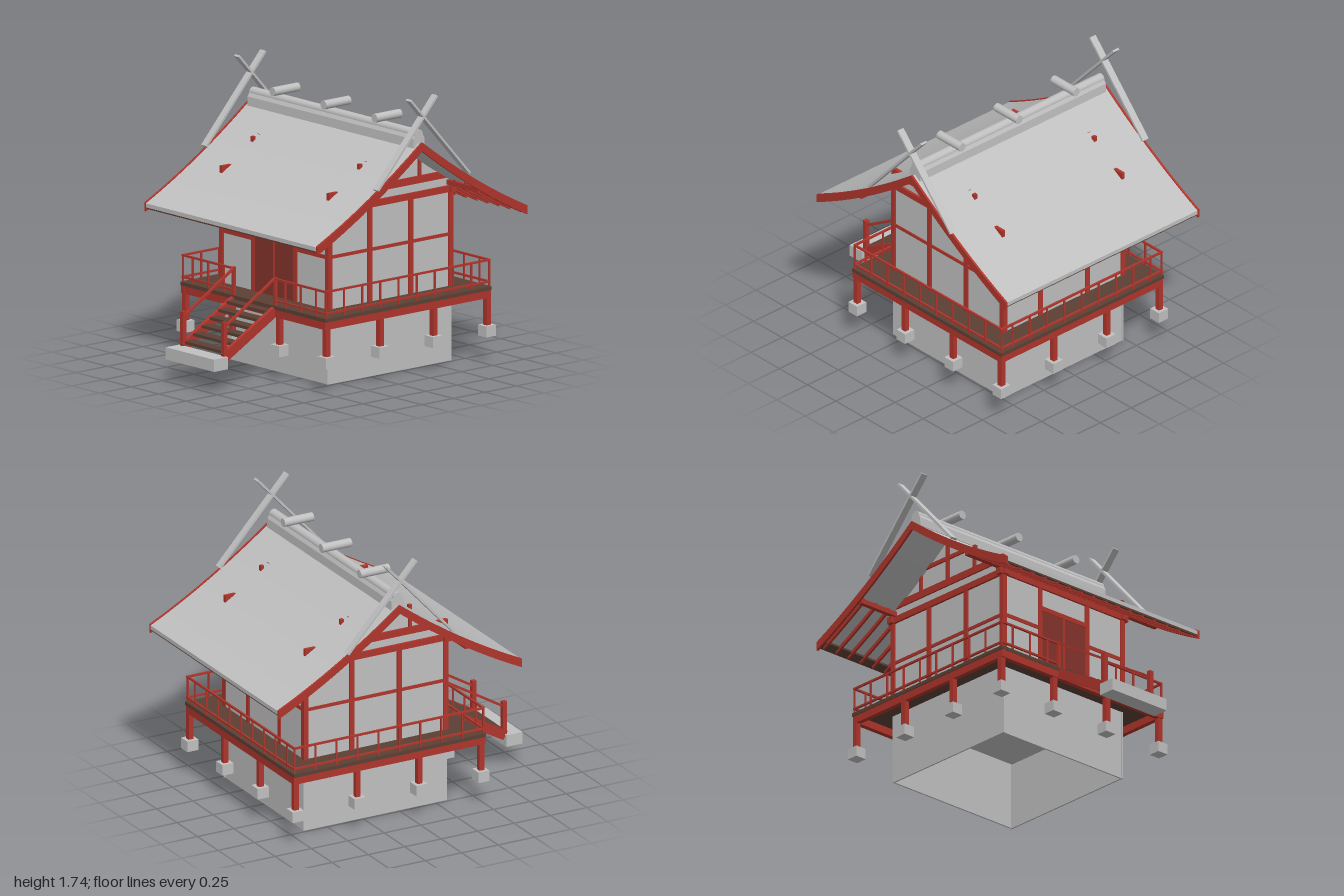
import * as THREE from 'three';
import { toCreasedNormals } from 'three/addons/utils/BufferGeometryUtils.js';

export function createModel() {
  const model = new THREE.Group();
  const material = (name, color) => {
    const m = new THREE.MeshStandardMaterial({ color });
    m.name = name;
    return m;
  };
  const grey = material('pale grey', 0xc0c0c0);
  const red = material('vermilion', 0xb0352c);
  const doorRed = material('dark red', 0x85342d);
  const brown = material('dark brown', 0x5c4033);

  const add = (name, geometry, mat) => {
    const mesh = new THREE.Mesh(geometry, mat);
    mesh.name = name;
    model.add(mesh);
    return mesh;
  };
  // box given by its limits on each axis
  const box = (name, mat, x0, x1, y0, y1, z0, z1) => {
    const g = new THREE.BoxGeometry(Math.abs(x1 - x0), Math.abs(y1 - y0), Math.abs(z1 - z0));
    add(name, g, mat).position.set((x0 + x1) / 2, (y0 + y1) / 2, (z0 + z1) / 2);
  };
  // straight bar between two (z, y) points
  const slant = (name, mat, x, width, thick, [za, ya], [zb, yb]) => {
    const g = new THREE.BoxGeometry(width, thick, Math.hypot(zb - za, yb - ya));
    const m = add(name, g, mat);
    m.position.set(x, (ya + yb) / 2, (za + zb) / 2);
    m.rotation.x = -Math.atan2(yb - ya, zb - za);
  };
  // (z, y) outline extruded along x
  const extrudeX = (name, mat, pts, x0, x1) => {
    const shape = new THREE.Shape(pts.map(p => new THREE.Vector2(p[0], p[1])));
    const g = new THREE.ExtrudeGeometry(shape, { depth: x1 - x0, bevelEnabled: false });
    g.rotateY(-Math.PI / 2);
    g.translate(x1, 0, 0);
    add(name, toCreasedNormals(g, 0.4), mat);
  };

  // roof curve, by distance from the ridge
  const RIDGE = -0.16, EAVE = 0.835;
  const roofY = d => 1.46 - 0.753 * d + 0.166 * d * d;
  const slope = (side, d0, d1, drop, n = 8) => Array.from({ length: n + 1 }, (_, i) => {
    const d = d0 + (d1 - d0) * i / n;
    return [RIDGE + side * d, roofY(d) - drop];
  });
  const wholeRoof = (name, mat, top, bottom, x0, x1) => {
    const over = drop => [...slope(1, EAVE, 0, drop), ...slope(-1, 0, EAVE, drop).slice(1)];
    extrudeX(name, mat, [...over(top), ...over(bottom).reverse()], x0, x1);
  };
  const roofBand = (name, mat, side, d0, d1, top, bottom, x0, x1) =>
    extrudeX(name, mat, [...slope(side, d0, d1, top, 4), ...slope(side, d1, d0, bottom, 4)], x0, x1);

  // roof, gable boards, eave strips and rafters
  wholeRoof('roof', grey, 0, 0.025, -0.772, 0.772);
  for (const s of [-1, 1]) {
    wholeRoof('gableBoard', red, -0.005, 0.05, s * 0.779 - 0.007, s * 0.779 + 0.007);
    roofBand('eaveStrip', brown, s, 0.78, 0.83, 0.024, 0.037, -0.77, 0.77);
    for (let i = 0; i < 16; i++) {
      const x = -0.745 + i * 0.0993;
      roofBand('rafter', red, s, 0.46, 0.815, 0.024, 0.05, x - 0.007, x + 0.007);
    }
    const z = RIDGE + s * 0.47;
    box('purlin', red, -0.77, 0.77, 1.085, 1.115, z - 0.015, z + 0.015);
  }

  // ridge cap, logs and crossed finials
  extrudeX('ridgeBase', grey, [[-0.205, 1.43], [-0.115, 1.43], [-0.118, 1.485], [-0.132, 1.51],
    [-0.188, 1.51], [-0.202, 1.485]], -0.755, 0.755);
  const cap = add('ridgeCap', new THREE.CylinderGeometry(0.03, 0.03, 1.51, 20), grey);
  cap.rotation.z = Math.PI / 2;
  cap.position.set(0, 1.509, RIDGE);
  for (const x of [-0.463, 0, 0.463]) {
    const log = add('ridgeLog', new THREE.CylinderGeometry(0.027, 0.027, 0.2, 20), grey);
    log.rotation.x = Math.PI / 2;
    log.position.set(x, 1.573, RIDGE);
  }
  for (const x of [-0.78, 0.78]) for (const s of [-1, 1])
    slant('crossedFinial', grey, x, 0.046, 0.014,
      [RIDGE + s * 0.365, 1.225], [RIDGE - s * 0.105, 1.74]);

  // walls, with gables following the roof, and the floor
  const gable = [[0.33, 0], [0.33, roofY(0.49) - 0.02], ...slope(1, 0.48, 0, 0.02),
    ...slope(-1, 0, 0.49, 0.02).slice(1), [-0.655, 0]];
  extrudeX('sideWall', grey, gable, 0.475, 0.485);
  extrudeX('sideWall', grey, gable, -0.485, -0.475);
  box('frontWall', grey, -0.47, 0.47, 0, 1.1, 0.315, 0.325);
  box('backWall', grey, -0.47, 0.47, 0, 1.1, -0.65, -0.64);
  box('floor', grey, -0.475, 0.475, 0.42, 0.43, -0.64, 0.315);

  // timber frame of the walls
  const wallZ = [0.318, -0.643];
  for (const z of wallZ) {
    for (const x of [-0.48, -0.19, 0.19, 0.48])
      box('wallPost', red, x - 0.016, x + 0.016, 0.44, 1.06, z - 0.016, z + 0.016);
    box('wallPlate', red, -0.52, 0.52, 1.04, 1.08, z - 0.02, z + 0.02);
    for (const s of [-1, 1])
      box('wallRail', red, s * 0.2, s * 0.47, 0.768, 0.792, z - 0.012, z + 0.012);
  }
  box('backRail', red, -0.2, 0.2, 0.768, 0.792, -0.655, -0.635);
  for (const s of [-1, 1]) {
    const x0 = s * 0.474, x1 = s * 0.496;
    for (const z of [0, -0.325])
      box('sidePost', red, x0, x1, 0.44, 1.06, z - 0.016, z + 0.016);
    box('sideRail', red, x0, s * 0.492, 0.77, 0.79, -0.64, 0.315);
    box('sidePlate', red, s * 0.46, s * 0.5, 1.04, 1.08, -0.67, 0.35);
    box('tieBeam', red, x0, x1, 1.13, 1.175, -0.65, 0.33);
    box('collarBeam', red, x0, x1, 1.3, 1.325, -0.35, 0.03);
    box('kingPost', red, x0, x1, 1.17, 1.41, RIDGE - 0.012, RIDGE + 0.012);
    for (const t of [-1, 1]) {
      const z = RIDGE + t * 0.235;
      box('gableStrut', red, x0, x1, 1.17, 1.318, z - 0.011, z + 0.011);
    }
  }

  // double door
  box('doorLintel', red, -0.18, 0.18, 0.895, 0.925, 0.322, 0.336);
  for (const s of [-1, 1]) {
    box('doorLeaf', doorRed, s * 0.002, s * 0.176, 0.455, 0.9, 0.324, 0.331);
    box('doorStile', red, s * 0.001, s * 0.008, 0.455, 0.9, 0.325, 0.334);
  }

  // veranda planks around the walls, edge beams, legs and stones
  for (const s of [-1, 1]) {
    box('sidePlanks', brown, s * 0.484, s * 0.66, 0.437, 0.46, -0.82, 0.5);
    box('sideEdgeBeam', red, s * 0.625, s * 0.655, 0.39, 0.438, -0.815, 0.5);
  }
  box('frontPlanks', brown, -0.484, 0.484, 0.437, 0.46, 0.325, 0.5);
  box('backPlanks', brown, -0.484, 0.484, 0.437, 0.46, -0.82, -0.65);
  box('frontEdgeBeam', red, -0.655, 0.655, 0.39, 0.438, 0.465, 0.497);
  box('backEdgeBeam', red, -0.655, 0.655, 0.39, 0.438, -0.817, -0.785);
  const leg = (x, z) => {
    box('verandaLeg', red, x - 0.016, x + 0.016, 0.22, 0.4, z - 0.016, z + 0.016);
    box('footingStone', grey, x - 0.038, x + 0.038, 0.156, 0.224, z - 0.038, z + 0.038);
  };
  for (const z of [0.475, 0.05, -0.375, -0.8]) for (const x of [-0.64, 0.64]) leg(x, z);
  for (const z of [0.475, -0.8]) for (const x of [-0.215, 0.215]) leg(x, z);

  // railing
  const r = 0.006;
  const baluster = (x, z) => box('baluster', red, x - 0.005, x + 0.005, 0.455, 0.62, z - 0.005, z + 0.005);
  const rails = (x0, x1, z0, z1) => {
    for (const y of [0.489, 0.622])
      box('railing', red, x0 - r, x1 + r, y - r, y + r, z0 - r, z1 + r);
  };
  for (const s of [-1, 1]) {
    rails(s * 0.649, s * 0.649, -0.81, 0.488);
    for (let i = 0; i < 10; i++) baluster(s * 0.649, 0.488 - i * 0.1442);
    rails(s > 0 ? 0.19 : -0.649, s > 0 ? 0.649 : -0.19, 0.488, 0.488);
    for (const x of [0.28, 0.42, 0.56]) {
      baluster(s * x, 0.488);
      baluster(s * x, -0.81);
    }
    baluster(s * 0.14, -0.81);
    box('railEndPost', red, s * 0.178, s * 0.198, 0.44, 0.632, 0.478, 0.498);
  }
  rails(-0.649, 0.649, -0.81, -0.81);
  baluster(0, -0.81);

  // front steps
  for (const s of [-1, 1]) {
    slant('stairStringer', red, s * 0.185, 0.026, 0.06, [0.49, 0.425], [0.895, 0.2]);
    slant('stairHandrail', red, s * 0.186, 0.014, 0.014, [0.488, 0.626], [0.89, 0.385]);
    box('stairNewel', red, s * 0.172, s * 0.2, 0.19, 0.42, 0.877, 0.905);
  }
  for (let i = 0; i < 6; i++) {
    const y = 0.23 + i * 0.039, z = 0.855 - i * 0.067;
    box('stairTread', brown, -0.175, 0.175, y - 0.009, y + 0.009, z - 0.036, z + 0.036);
  }
  box('stairStone', grey, -0.22, 0.22, 0.135, 0.21, 0.89, 1);

  return model;
}
